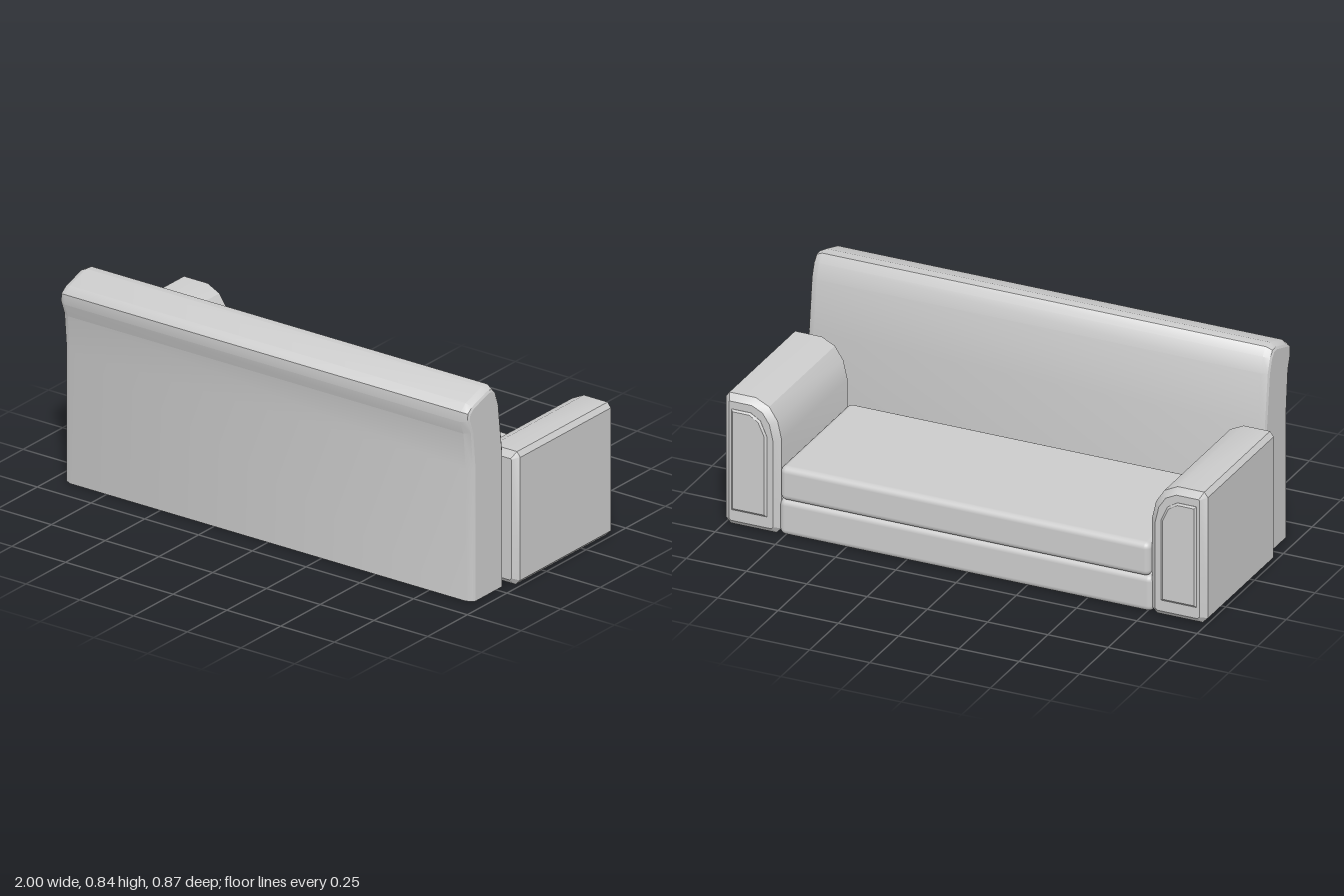
import * as THREE from 'three';
import { toCreasedNormals } from 'three/addons/utils/BufferGeometryUtils.js';
import { RoundedBoxGeometry } from 'three/addons/geometries/RoundedBoxGeometry.js';

const material = new THREE.MeshStandardMaterial({ color: 0xcccccc });

// Shrink a counter-clockwise outline by d, with mitred corners.
function inset(points, d) {
  const n = points.length;
  return points.map((p, i) => {
    const a = points[(i + n - 1) % n], b = points[(i + 1) % n];
    const n1 = new THREE.Vector2(a[1] - p[1], p[0] - a[0]).normalize();
    const n2 = new THREE.Vector2(p[1] - b[1], b[0] - p[0]).normalize();
    const m = n1.clone().add(n2).multiplyScalar(d / (1 + n1.dot(n2)));
    return [p[0] + m.x, p[1] + m.y];
  });
}

// Skin outlines [z, points] from low to high z and cap both ends.
function loft(rings) {
  const n = rings[0][1].length, positions = [], index = [];
  for (const [z, points] of rings) for (const p of points) positions.push(p[0], p[1], z);
  for (let r = 0; r < rings.length - 1; r++) {
    for (let i = 0; i < n; i++) {
      const a = r * n + i, b = r * n + (i + 1) % n;
      index.push(a, b, b + n, a, b + n, a + n);
    }
  }
  const last = (rings.length - 1) * n;
  const vectors = (points) => points.map((p) => new THREE.Vector2(p[0], p[1]));
  for (const [a, b, c] of THREE.ShapeUtils.triangulateShape(vectors(rings[0][1]), [])) index.push(a, c, b);
  for (const [a, b, c] of THREE.ShapeUtils.triangulateShape(vectors(rings[rings.length - 1][1]), []))
    index.push(last + a, last + b, last + c);
  const geometry = new THREE.BufferGeometry();
  geometry.setAttribute('position', new THREE.Float32BufferAttribute(positions, 3));
  geometry.setIndex(index);
  return toCreasedNormals(geometry, 0.5);
}

function add(group, name, geometry, x = 0, y = 0, z = 0) {
  const mesh = new THREE.Mesh(geometry, material);
  mesh.name = name;
  mesh.position.set(x, y, z);
  group.add(mesh);
}

const mirrored = (points) => points.map(([x, y]) => [-x, y]).reverse();

export function createModel() {
  const sofa = new THREE.Group();
  sofa.name = 'sofa';

  // Seat base and cushion
  add(sofa, 'seatBase', new RoundedBoxGeometry(1.55, 0.15, 0.6, 3, 0.025), 0, 0.075, -0.12);
  add(sofa, 'seatCushion', new RoundedBoxGeometry(1.535, 0.14, 0.61, 3, 0.025), 0, 0.22, -0.125);

  // Backrest: side outline in (z, y), swept across the width
  const back = [
    [0.192, 0], [0.402, 0], [0.402, 0.54], [0.416, 0.69], [0.437, 0.745], [0.435, 0.785],
    [0.402, 0.81], [0.3, 0.843], [0.265, 0.84], [0.238, 0.81], [0.217, 0.75], [0.192, 0.54],
  ];
  const backInset = (d) => inset(back, d).map(([z, y], i) => [z, i < 2 ? 0 : y]);
  add(sofa, 'backrest', loft([
    [-0.95, backInset(0.022)], [-0.945, backInset(0.013)], [-0.92, back],
    [0.92, back], [0.945, backInset(0.013)], [0.95, backInset(0.022)],
  ]).rotateY(-Math.PI / 2));

  // Armrests: square outer side, rounded inner shoulder, raised front panel
  const arm = [
    [0.79, 0], [0.978, 0], [1, 0.022], [1, 0.525], [0.985, 0.545], [0.875, 0.545],
    [0.82, 0.518], [0.785, 0.465], [0.768, 0.39], [0.768, 0.022],
  ];
  const panel = [
    [0.818, 0.07], [0.965, 0.07], [0.965, 0.49], [0.885, 0.49], [0.845, 0.465], [0.818, 0.405],
  ];
  for (const side of ['left', 'right']) {
    const flip = (points) => (side === 'left' ? points : mirrored(points));
    const armrest = new THREE.Group();
    armrest.name = side + 'Armrest';
    const full = flip(arm), small = inset(full, 0.024), front = flip(panel);
    add(armrest, 'armBody', loft([[-0.43, small], [-0.406, full], [0.166, full], [0.19, small]]));
    add(armrest, 'armFrontPanel', loft([[-0.437, inset(front, 0.008)], [-0.431, front], [-0.42, front]]));
    sofa.add(armrest);
  }
  return sofa;
}
